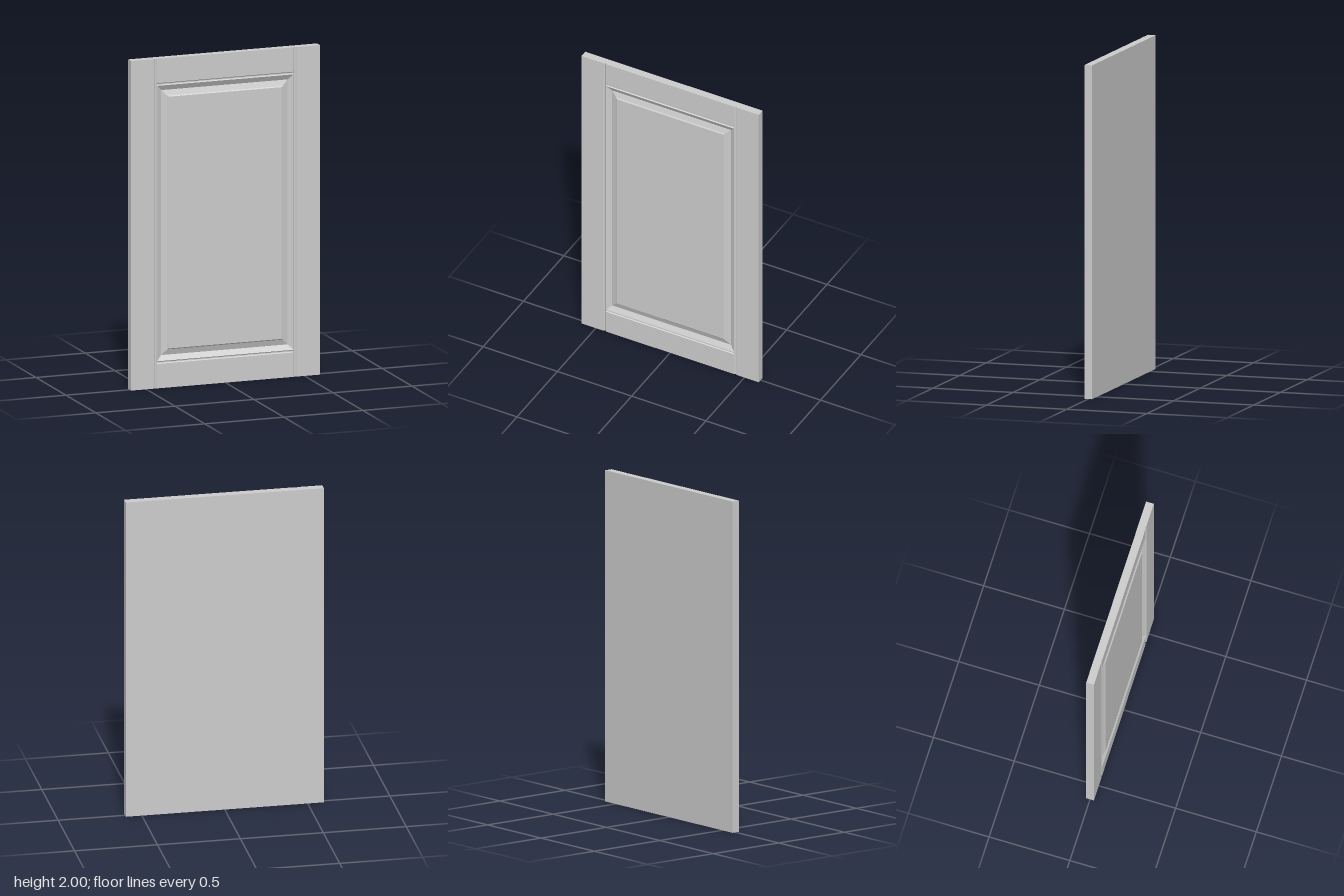
import * as THREE from 'three';

const F = 0.024;            // half thickness of the door
const HALF_W = 0.597, HALF_H = 1;
const IN_X = 0.432, IN_Y = 0.836; // half size of the framed opening

// Frame member: board with a groove along its inner edge, centred on its length
function memberGeometry(inner, width, length) {
  const s = new THREE.Shape([
    [0, -F], [width, -F], [width, F], [0.016, F],
    [0.012, F - 0.005], [0.008, F - 0.006], [0.004, F - 0.005], [0, F],
  ].map(([u, z]) => new THREE.Vector2(inner + u, z)));
  const g = new THREE.ExtrudeGeometry(s, { depth: length, bevelEnabled: false });
  g.translate(0, 0, -length / 2);
  g.applyMatrix4(new THREE.Matrix4().makeBasis(
    new THREE.Vector3(1, 0, 0), new THREE.Vector3(0, 0, 1), new THREE.Vector3(0, -1, 0)));
  return g;
}

// Raised panel: mitred moulding from nested rectangles [inset, z], with front and back faces
function panelGeometry(profile) {
  const pos = [];
  const corners = ([d, z]) => [[-1, -1], [1, -1], [1, 1], [-1, 1]]
    .map(([sx, sy]) => [sx * (IN_X - d), sy * (IN_Y - d), z]);
  const quad = (a, b, c, d) => pos.push(...a, ...b, ...c, ...a, ...c, ...d);
  for (let i = 0; i < profile.length - 1; i++) {
    const o = corners(profile[i]), n = corners(profile[i + 1]);
    for (let k = 0; k < 4; k++) {
      const m = (k + 1) % 4;
      quad(o[k], o[m], n[m], n[k]);
    }
  }
  quad(...corners(profile[profile.length - 1]));
  quad(...corners([0, -F]).reverse());
  const g = new THREE.BufferGeometry();
  g.setAttribute('position', new THREE.Float32BufferAttribute(pos, 3));
  g.computeVertexNormals();
  return g;
}

export function createModel() {
  const model = new THREE.Group();
  model.name = 'panelDoor';
  const material = new THREE.MeshStandardMaterial({ color: 0xcccccc, flatShading: true });
  const add = (name, geometry, turn = 0) => {
    const mesh = new THREE.Mesh(geometry, material);
    mesh.name = name;
    mesh.rotation.z = turn;
    mesh.position.y = HALF_H;
    model.add(mesh);
  };

  // Full-height stiles and the rails between them
  const stile = memberGeometry(IN_X, HALF_W - IN_X, 2 * HALF_H);
  const rail = memberGeometry(IN_Y, HALF_H - IN_Y, 2 * IN_X);
  add('leftStile', stile);
  add('rightStile', stile, Math.PI);
  add('topRail', rail, Math.PI / 2);
  add('bottomRail', rail, -Math.PI / 2);

  // Sloping recess, rising bevel, small step and flat field
  add('raisedPanel', panelGeometry([
    [0, F], [0.032, F - 0.018], [0.066, F - 0.006], [0.072, F - 0.001],
  ]));
  return model;
}
